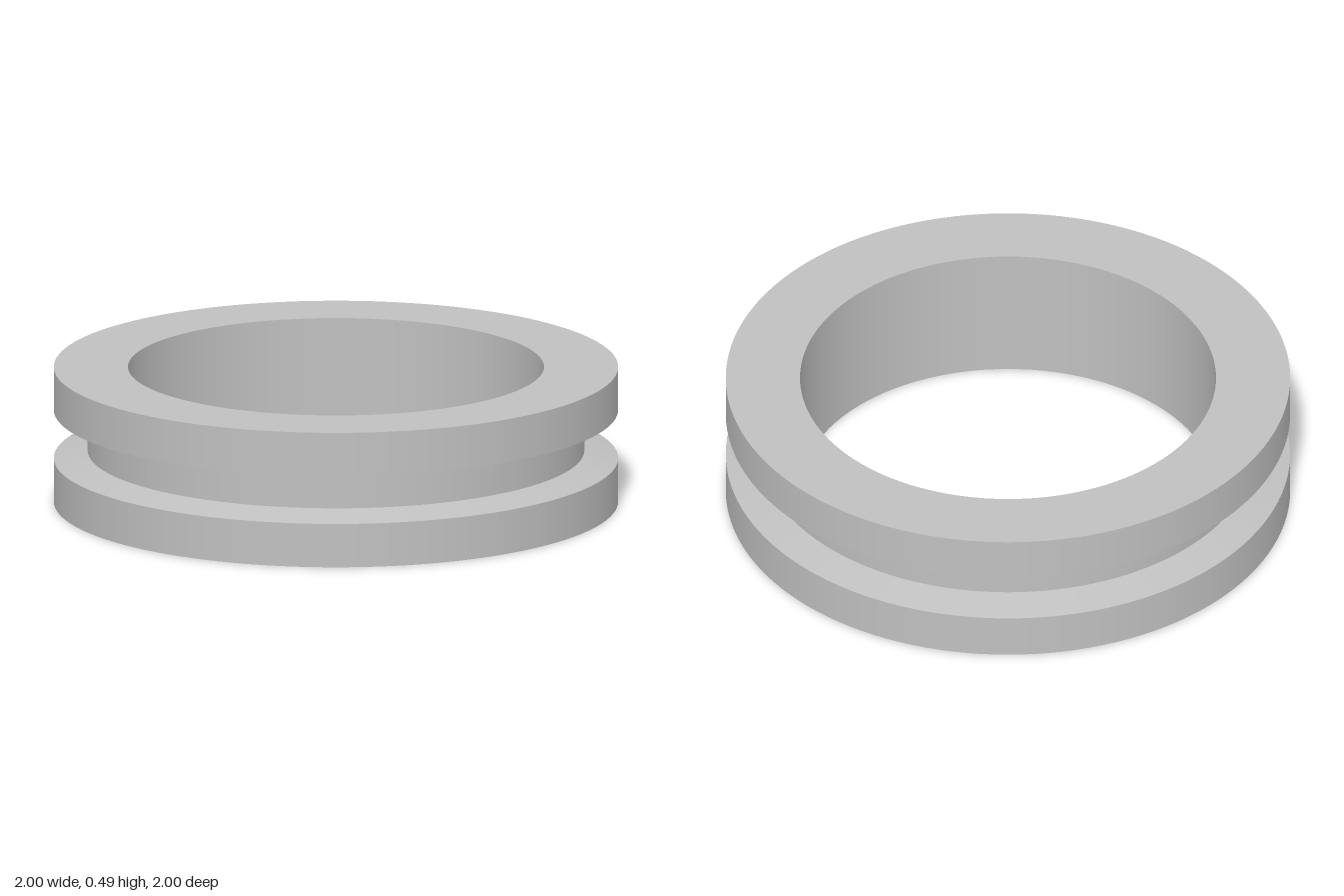
import * as THREE from 'three';
import { mergeGeometries } from 'three/addons/utils/BufferGeometryUtils.js';

const SEGMENTS = 128;
const BORE = 0.737, RIM = 1, GROOVE = 0.88, HEIGHT = 0.49;

// Closed [radius, y] section: base, lower flange, groove, upper flange, top, bore
const profile = [
  [BORE, 0], [RIM, 0], [RIM, 0.158], [GROOVE, 0.186],
  [GROOVE, 0.306], [RIM, 0.334], [RIM, HEIGHT], [BORE, HEIGHT], [BORE, 0],
].map(([r, y]) => new THREE.Vector2(r, y));

// One lathed band per section edge keeps corners sharp and the round smooth
function sharpLathe(points) {
  const bands = [];
  for (let i = 0; i < points.length - 1; i++) {
    bands.push(new THREE.LatheGeometry([points[i], points[i + 1]], SEGMENTS));
  }
  return mergeGeometries(bands);
}

export function createModel() {
  const group = new THREE.Group();
  group.name = 'groovedRing';

  const greyMetal = new THREE.MeshStandardMaterial({ color: 0xc0c0c0 });
  greyMetal.name = 'greyMetal';

  const ring = new THREE.Mesh(sharpLathe(profile), greyMetal);
  ring.name = 'ringBody';
  group.add(ring);
  return group;
}
